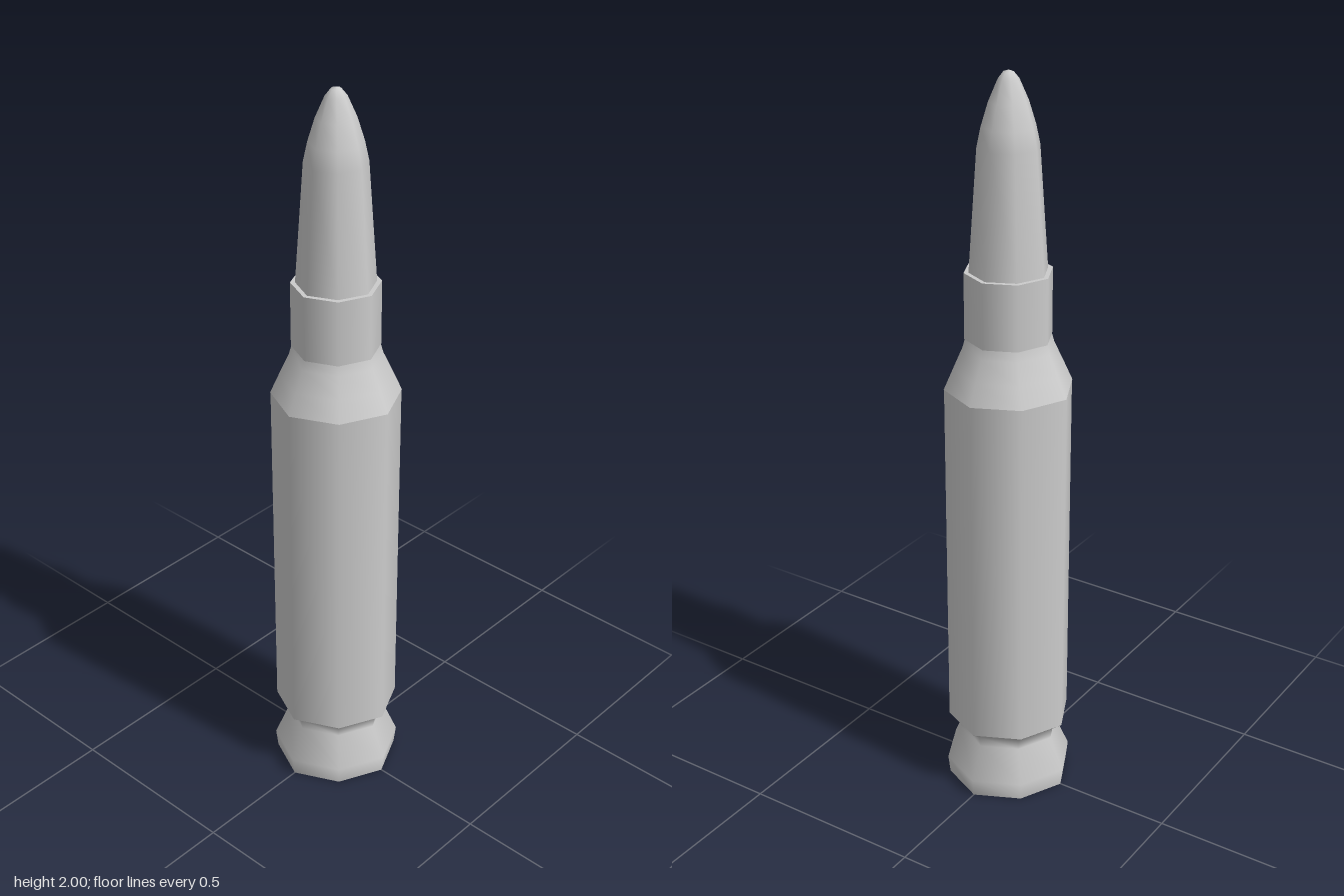
import * as THREE from 'three';

const material = new THREE.MeshStandardMaterial({ color: 0xcccccc });

// Eight-sided turned part; the diagonal corners sit slightly inside the axis corners
function turned(name, profile, diagonal = 0.96) {
  const points = profile.map(([r, y]) => new THREE.Vector2(r, y));
  const geometry = new THREE.LatheGeometry(points, 8);
  const pos = geometry.attributes.position;
  for (let i = 0; i < pos.count; i++) {
    const side = Math.floor(i / points.length);
    if (side % 2) {
      pos.setX(i, pos.getX(i) * diagonal);
      pos.setZ(i, pos.getZ(i) * diagonal);
    }
  }
  const mesh = new THREE.Mesh(geometry, material);
  mesh.name = name;
  return mesh;
}

export function createModel() {
  const group = new THREE.Group();
  group.name = 'cartridge';

  // Flat base, then rim and extractor groove
  group.add(turned('base', [[0, 0], [0.175, 0]]));
  group.add(turned('rim', [[0.175, 0], [0.181, 0.05], [0.14, 0.143], [0.146, 0.175], [0.175, 0.198]]));

  // Case wall, shoulder and neck
  group.add(turned('caseBody', [[0.175, 0.198], [0.175, 1.185]]));
  group.add(turned('shoulder', [[0.175, 1.185], [0.15, 1.24], [0.124, 1.295], [0.117, 1.32]], 0.965));
  group.add(turned('neck', [[0.117, 1.32], [0.117, 1.497]], 0.975));
  group.add(turned('neckLip', [[0.117, 1.497], [0.09, 1.497]], 0.975));

  // Tapered projectile with a rounded tip
  group.add(turned('projectile', [
    [0.107, 1.48], [0.105, 1.5], [0.082, 1.815], [0.071, 1.865],
    [0.052, 1.925], [0.028, 1.978], [0.014, 1.995], [0, 2],
  ], 0.965));

  return group;
}
